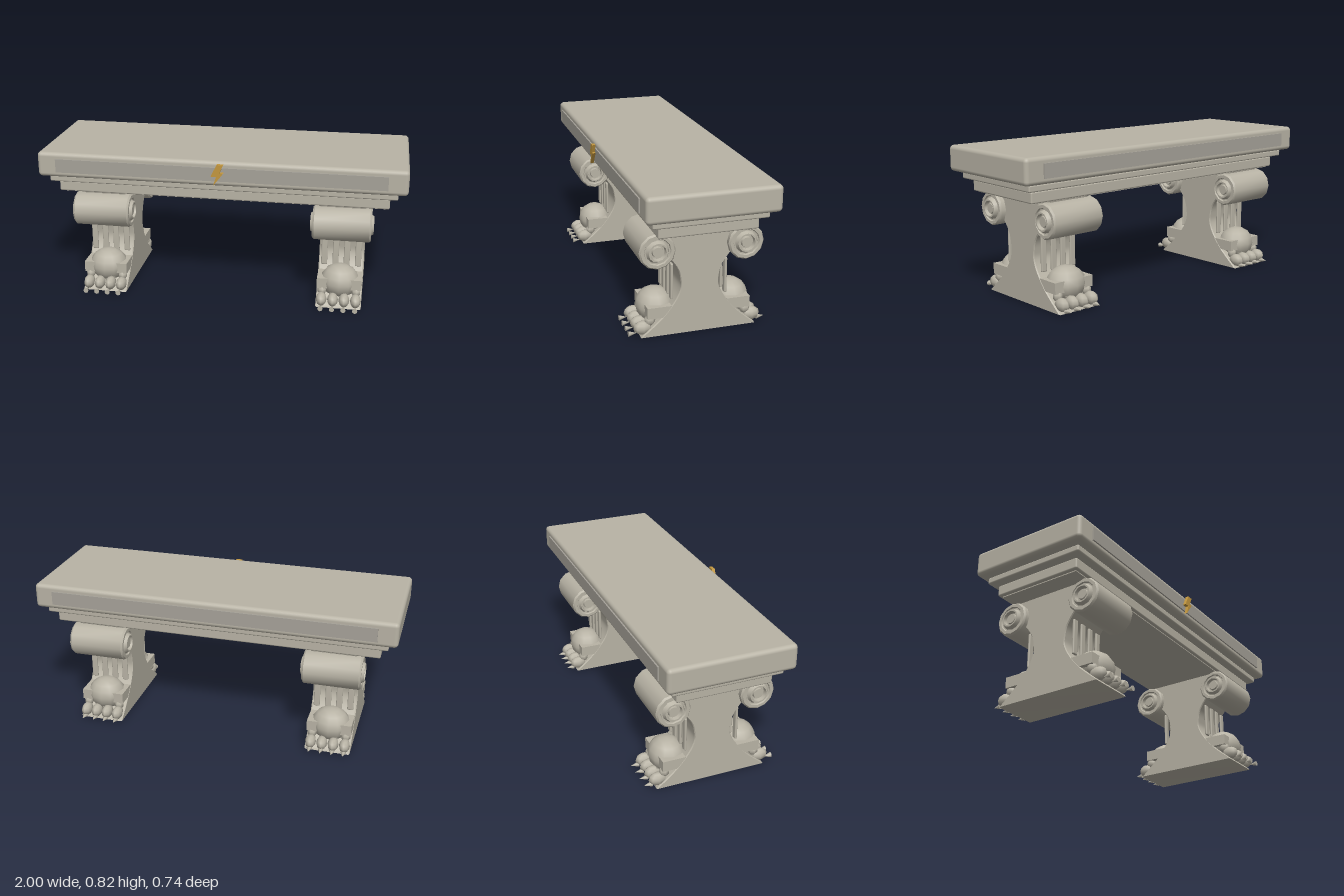
import * as THREE from 'three';
import { toCreasedNormals } from 'three/addons/utils/BufferGeometryUtils.js';
import { RoundedBoxGeometry } from 'three/addons/geometries/RoundedBoxGeometry.js';

const material = (name, color) => {
  const m = new THREE.MeshStandardMaterial({ color });
  m.name = name;
  return m;
};

export function createModel() {
  const stone = material('stone', 0xb8b3a5);
  const panelStone = material('panel stone', 0xa6a299);
  const gold = material('gold', 0xc4983f);

  const add = (parent, name, geometry, mat, x = 0, y = 0, z = 0) => {
    const mesh = new THREE.Mesh(geometry, mat);
    mesh.name = name;
    mesh.position.set(x, y, z);
    parent.add(mesh);
    return mesh;
  };
  const ellipsoid = (rx, ry, rz, w, h) => new THREE.SphereGeometry(1, w, h).scale(rx, ry, rz);

  const bench = new THREE.Group();
  bench.name = 'bench';

  // Seat slab and the stepped mouldings under it
  add(bench, 'seatSlab', new RoundedBoxGeometry(2, 0.138, 0.685, 3, 0.022), stone, 0, 0.759, 0);
  add(bench, 'upperMoulding', new RoundedBoxGeometry(1.9, 0.036, 0.594, 2, 0.008), stone, 0, 0.668, 0);
  add(bench, 'lowerMoulding', new RoundedBoxGeometry(1.82, 0.06, 0.516, 2, 0.008), stone, 0, 0.614, 0);
  add(bench, 'mouldingCore', new THREE.BoxGeometry(1.78, 0.116, 0.48), stone, 0, 0.637, 0);

  // Long inset panels, front and back
  for (const s of [1, -1]) {
    add(bench, s > 0 ? 'frontPanel' : 'backPanel',
      new THREE.BoxGeometry(1.79, 0.075, 0.009), panelStone, 0, 0.758, s * 0.3455);
  }

  // Zigzag ornament
  const zigzag = new THREE.Shape([
    [0.0, 0.818], [0.035, 0.818], [0.014, 0.772], [0.035, 0.772],
    [-0.02, 0.7], [-0.003, 0.752], [-0.033, 0.752],
  ].map(([x, y]) => new THREE.Vector2(x, y)));
  add(bench, 'zigzagOrnament',
    new THREE.ExtrudeGeometry(zigzag, { depth: 0.018, bevelEnabled: false }), gold, 0, 0, 0.35);

  // Waisted leg slab, drawn in side profile and extruded across x
  const waist = [[0.3, 0.012], [0.2, 0.098], [0.13, 0.185], [0.1, 0.25], [0.1, 0.3],
    [0.115, 0.36], [0.165, 0.43], [0.215, 0.48]].map(([z, y]) => new THREE.Vector2(z, y));
  const curve = new THREE.SplineCurve(waist).getPoints(28);
  const side = [new THREE.Vector2(0.305, 0.004), ...curve, new THREE.Vector2(0.24, 0.578)];
  const legShape = new THREE.Shape([...side, ...side.map(p => new THREE.Vector2(-p.x, p.y)).reverse()]);
  const legGeometry = toCreasedNormals(
    new THREE.ExtrudeGeometry(legShape, {
      depth: 0.238, bevelThickness: 0.006, bevelSize: 0.004, bevelOffset: -0.002, bevelSegments: 1,
    }).translate(0, 0.002, -0.119).rotateY(Math.PI / 2), 0.5);

  // Scroll roll with ringed ends, turned around x
  const end = [[0, 0.162], [0.027, 0.162], [0.03, 0.148], [0.038, 0.148], [0.042, 0.17],
    [0.05, 0.17], [0.06, 0.15], [0.067, 0.15], [0.071, 0.158], [0.087, 0.158], [0.095, 0.148]];
  const profile = [...end.map(([r, h]) => [r, -h]), ...end.slice().reverse()]
    .map(([r, h]) => new THREE.Vector2(r, h));
  const scrollGeometry = toCreasedNormals(
    new THREE.LatheGeometry(profile, 12).rotateZ(Math.PI / 2), 0.6);

  // Shared parts of the paw feet
  const fluteGeometry = new RoundedBoxGeometry(0.034, 0.195, 0.014, 2, 0.006);
  const pawGeometry = ellipsoid(0.108, 0.094, 0.1, 12, 8);
  const pawBlockGeometry = new THREE.BoxGeometry(0.246, 0.06, 0.13);
  const toeGeometry = ellipsoid(0.03, 0.037, 0.05, 8, 6);
  const knuckleGeometry = ellipsoid(0.026, 0.03, 0.029, 7, 5);
  const clawGeometry = new THREE.ConeGeometry(0.015, 0.044, 8).rotateX(-Math.PI / 2);

  for (const sx of [1, -1]) {
    const leg = new THREE.Group();
    leg.name = sx > 0 ? 'leftLeg' : 'rightLeg';
    leg.position.x = sx * 0.664;
    bench.add(leg);
    add(leg, 'legSlab', legGeometry, stone);

    for (const s of [1, -1]) {
      add(leg, 'scroll', scrollGeometry, stone, 0, 0.481, s * 0.233);
      add(leg, 'paw', pawGeometry, stone, 0, 0.133, s * 0.205);
      add(leg, 'pawBlock', pawBlockGeometry, stone, 0, 0.135, s * 0.21);
      for (const x of [-0.094, -0.031, 0.031, 0.094]) {
        add(leg, 'flute', fluteGeometry, stone, x, 0.292, s * 0.144);
        add(leg, 'toe', toeGeometry, stone, x, 0.051, s * 0.293);
        add(leg, 'knuckle', knuckleGeometry, stone, x, 0.089, s * 0.257);
        add(leg, 'claw', clawGeometry, stone, x, 0.026, s * 0.347);
      }
    }
  }
  return bench;
}
